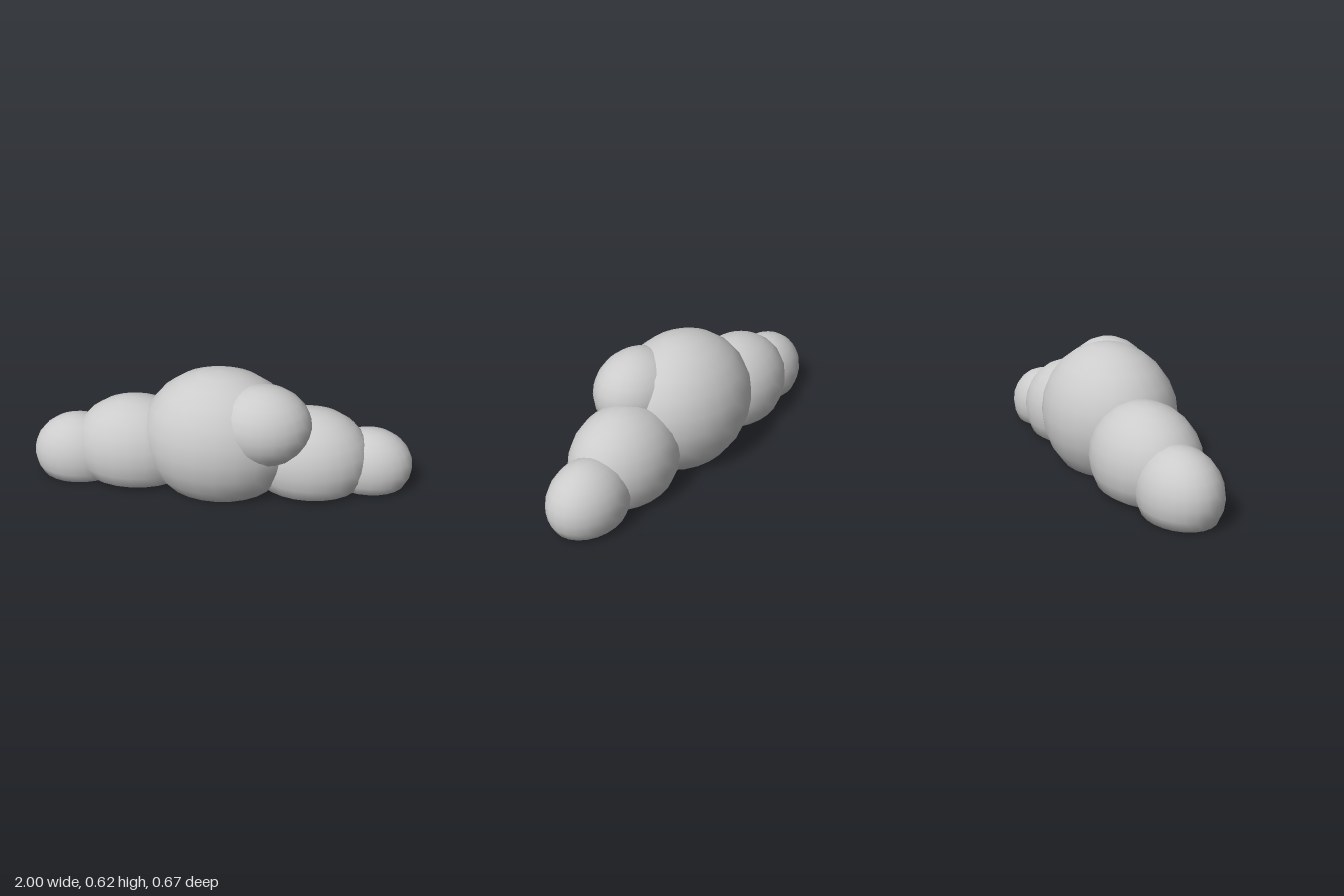
import * as THREE from 'three';
import { mergeVertices } from 'three/addons/utils/BufferGeometryUtils.js';

const material = new THREE.MeshStandardMaterial({ color: 0xcccccc });

// One puff: an ellipsoid whose underside is pressed flat onto the ground
function puff(name, [x, y, z], [rx, ry, rz]) {
  let geometry = new THREE.SphereGeometry(1, 24, 12);
  geometry.scale(rx, ry, rz).translate(x, y, z);
  geometry.deleteAttribute('uv');
  geometry.deleteAttribute('normal');
  geometry = mergeVertices(geometry, 1e-4);

  const position = geometry.attributes.position;
  for (let i = 0; i < position.count; i++) {
    position.setY(i, Math.max(0, position.getY(i)));
  }
  geometry.computeVertexNormals();

  const mesh = new THREE.Mesh(geometry, material);
  mesh.name = name;
  return mesh;
}

export function createModel() {
  const cloud = new THREE.Group();
  cloud.name = 'cloud';
  cloud.add(
    // Large middle puff with a smaller one bulging out in front
    puff('centrePuff', [0, 0.26, 0], [0.41, 0.365, 0.335]),
    puff('frontPuff', [0.22, 0.39, 0.11], [0.25, 0.21, 0.21]),
    // Puffs shrinking towards both ends
    puff('rightInnerPuff', [-0.45, 0.165, -0.035], [0.33, 0.275, 0.255]),
    puff('rightOuterPuff', [-0.76, 0.11, -0.035], [0.24, 0.212, 0.19]),
    puff('leftInnerPuff', [0.47, 0.16, 0], [0.31, 0.27, 0.25]),
    puff('leftOuterPuff', [0.775, 0.115, -0.035], [0.225, 0.197, 0.18]),
  );
  return cloud;
}
